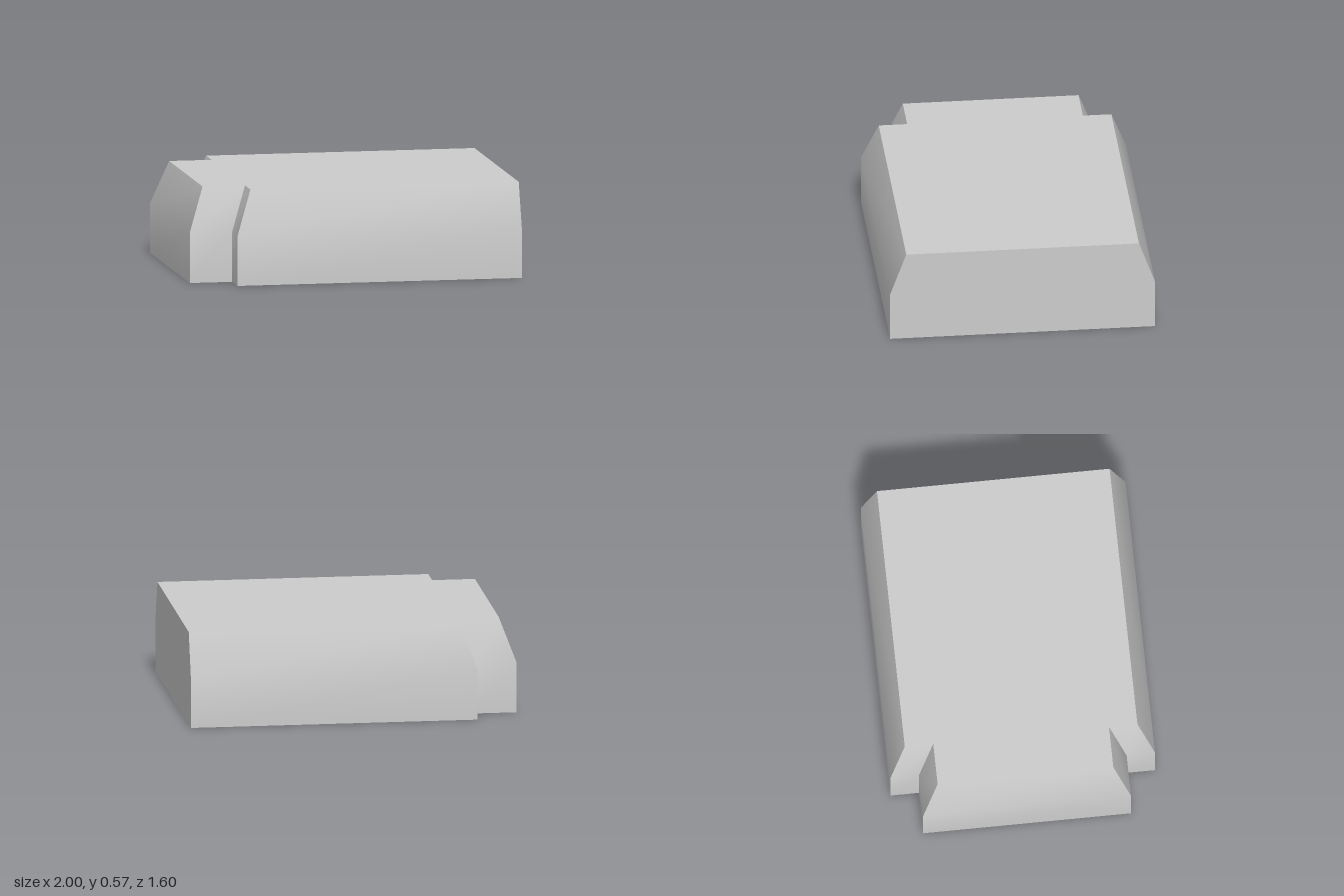
import * as THREE from 'three';
import { mergeGeometries } from 'three/addons/utils/BufferGeometryUtils.js';

const HEIGHT = 0.57;
const SHOULDER = 0.305;

// Stepped plan outline, counter-clockwise from above, as [x, -z]; inset shrinks all but the flat end
function outline(inset) {
  const half = [[1, 0.8 - inset], [-0.74 + inset, 0.8 - inset], [-0.74 + inset, 0.628 - inset], [-1 + inset, 0.628 - inset]];
  return [...half, ...half.map(([x, d]) => [x, -d]).reverse()];
}

// Horizontal cap following an outline, facing up or down
function cap(points, y, up) {
  const shape = new THREE.Shape(points.map(([x, d]) => new THREE.Vector2(x, up ? d : -d)));
  return new THREE.ShapeGeometry(shape).rotateX(up ? -Math.PI / 2 : Math.PI / 2).translate(0, y, 0);
}

// One wall: a strip rising through the rings, smooth over the shoulder, sharp at its corners
function wall(rings, i) {
  const position = [], uv = [], index = [];
  rings.forEach(({ points, y }, r) => {
    [points[i], points[(i + 1) % points.length]].forEach(([x, d], k) => {
      position.push(x, y, -d);
      uv.push(k, y / HEIGHT);
    });
    const a = r * 2;
    if (r < rings.length - 1) index.push(a, a + 1, a + 3, a, a + 3, a + 2);
  });
  const geometry = new THREE.BufferGeometry();
  geometry.setAttribute('position', new THREE.Float32BufferAttribute(position, 3));
  geometry.setAttribute('uv', new THREE.Float32BufferAttribute(uv, 2));
  geometry.setIndex(index);
  geometry.computeVertexNormals();
  return geometry;
}

export function createModel() {
  const group = new THREE.Group();
  group.name = 'steppedBlock';
  const material = new THREE.MeshStandardMaterial({ color: 0xcccccc });
  const add = (name, geometry) => {
    const mesh = new THREE.Mesh(geometry, material);
    mesh.name = name;
    group.add(mesh);
  };

  const base = outline(0);
  const top = outline(0.097);
  const rings = [{ points: base, y: 0 }, { points: base, y: SHOULDER }, { points: top, y: HEIGHT }];

  add('walls', mergeGeometries(base.map((_, i) => wall(rings, i))));
  add('topFace', cap(top, HEIGHT, true));
  add('bottomFace', cap(base, 0, false));
  return group;
}
